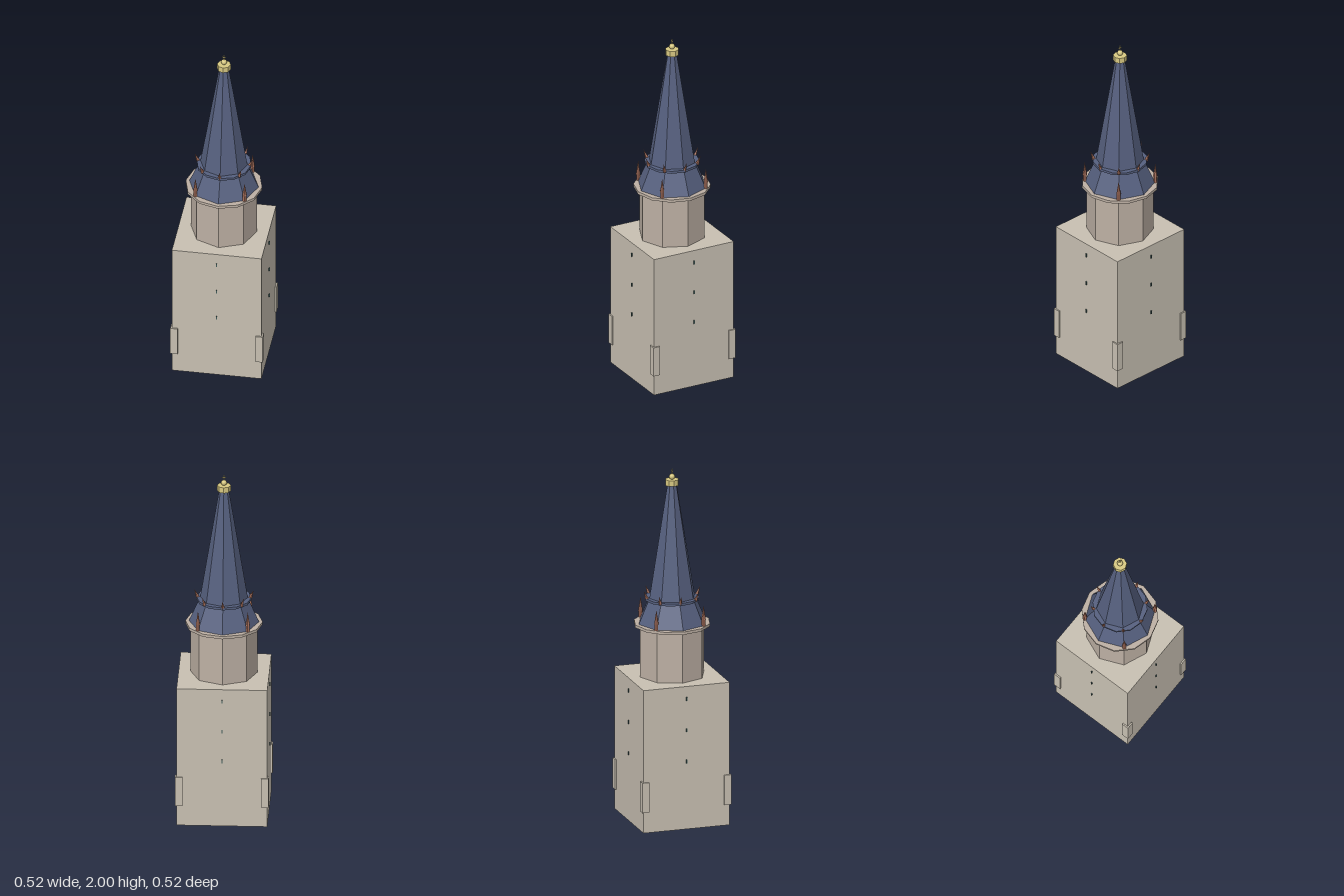
import * as THREE from 'three';

const mat = (color) => new THREE.MeshStandardMaterial({ color, flatShading: true });

export function createModel() {
  const tower = new THREE.Group();
  tower.name = 'churchTower';
  const stone = mat(0xc8c0b2), paleStone = mat(0xbdb0a4), slate = mat(0x56607f);
  const copper = mat(0xa8705c), gold = mat(0xd8c982), slitDark = mat(0x3f5a58);

  const add = (name, geometry, material, x = 0, y = 0, z = 0, parent = tower) => {
    const mesh = new THREE.Mesh(geometry, material);
    mesh.name = name;
    mesh.position.set(x, y, z);
    parent.add(mesh);
    return mesh;
  };
  // Upright prism or frustum between two heights
  const frustum = (name, rBottom, rTop, y0, y1, sides, material) =>
    add(name, new THREE.CylinderGeometry(rTop, rBottom, y1 - y0, sides), material, 0, (y0 + y1) / 2, 0);

  // Square shaft
  add('shaft', new THREE.BoxGeometry(0.5, 0.82, 0.5), stone, 0, 0.41, 0);

  // Corner blocks
  const cornerGeo = new THREE.BoxGeometry(0.041, 0.172, 0.041);
  for (const sx of [-1, 1])
    for (const sz of [-1, 1]) add('cornerBlock', cornerGeo, stone, sx * 0.2375, 0.204, sz * 0.2375);

  // Three slit windows on every face
  const slitGeo = new THREE.BoxGeometry(0.006, 0.02, 0.012);
  for (let i = 0; i < 4; i++) {
    const face = new THREE.Group();
    face.name = 'slitWindows';
    face.rotation.y = (i * Math.PI) / 2;
    for (const y of [0.389, 0.569, 0.749]) add('slitWindow', slitGeo, slitDark, 0, y, 0.25, face);
    tower.add(face);
  }

  // Octagonal belfry and its cornice
  frustum('belfry', 0.185, 0.185, 0.82, 1.11, 8, paleStone);
  frustum('cornice', 0.213, 0.213, 1.107, 1.123, 12, paleStone);

  // Roof skirt, collar and spire
  frustum('roofSkirt', 0.193, 0.135, 1.123, 1.258, 8, slate);
  frustum('roofCollar', 0.152, 0.152, 1.254, 1.268, 12, slate);
  frustum('spire', 0.131, 0.027, 1.268, 1.91, 8, slate);

  // Pinnacles on the diagonals of the cornice
  const postGeo = new THREE.CylinderGeometry(0.011, 0.011, 0.04, 6);
  const pointGeo = new THREE.ConeGeometry(0.013, 0.08, 6);
  for (let i = 0; i < 4; i++) {
    const a = Math.PI / 4 + (i * Math.PI) / 2;
    const pinnacle = new THREE.Group();
    pinnacle.name = 'pinnacle';
    pinnacle.position.set(Math.sin(a) * 0.194, 1.12, Math.cos(a) * 0.194);
    add('pinnaclePost', postGeo, copper, 0, 0.02, 0, pinnacle);
    add('pinnaclePoint', pointGeo, copper, 0, 0.08, 0, pinnacle);
    tower.add(pinnacle);
  }

  // Outward leaning spikes around the collar
  const spikeGeo = new THREE.ConeGeometry(0.011, 0.055, 4);
  for (let i = 0; i < 8; i++) {
    const arm = new THREE.Group();
    arm.name = 'collarSpike';
    arm.rotation.y = (i * Math.PI) / 4;
    add('spike', spikeGeo, copper, 0, 1.286, 0.153, arm).rotation.x = 0.38;
    tower.add(arm);
  }

  // Gilded finial: cap, ball and cross
  frustum('finialCap', 0.038, 0.038, 1.908, 1.941, 8, gold);
  const smoothGold = new THREE.MeshStandardMaterial({ color: 0xd8c982 });
  add('finialBall', new THREE.SphereGeometry(0.016, 16, 10), smoothGold, 0, 1.956, 0);
  add('crossPost', new THREE.BoxGeometry(0.004, 0.035, 0.004), gold, 0, 1.9825, 0);
  add('crossBar', new THREE.BoxGeometry(0.02, 0.004, 0.004), gold, 0, 1.987, 0);

  return tower;
}
